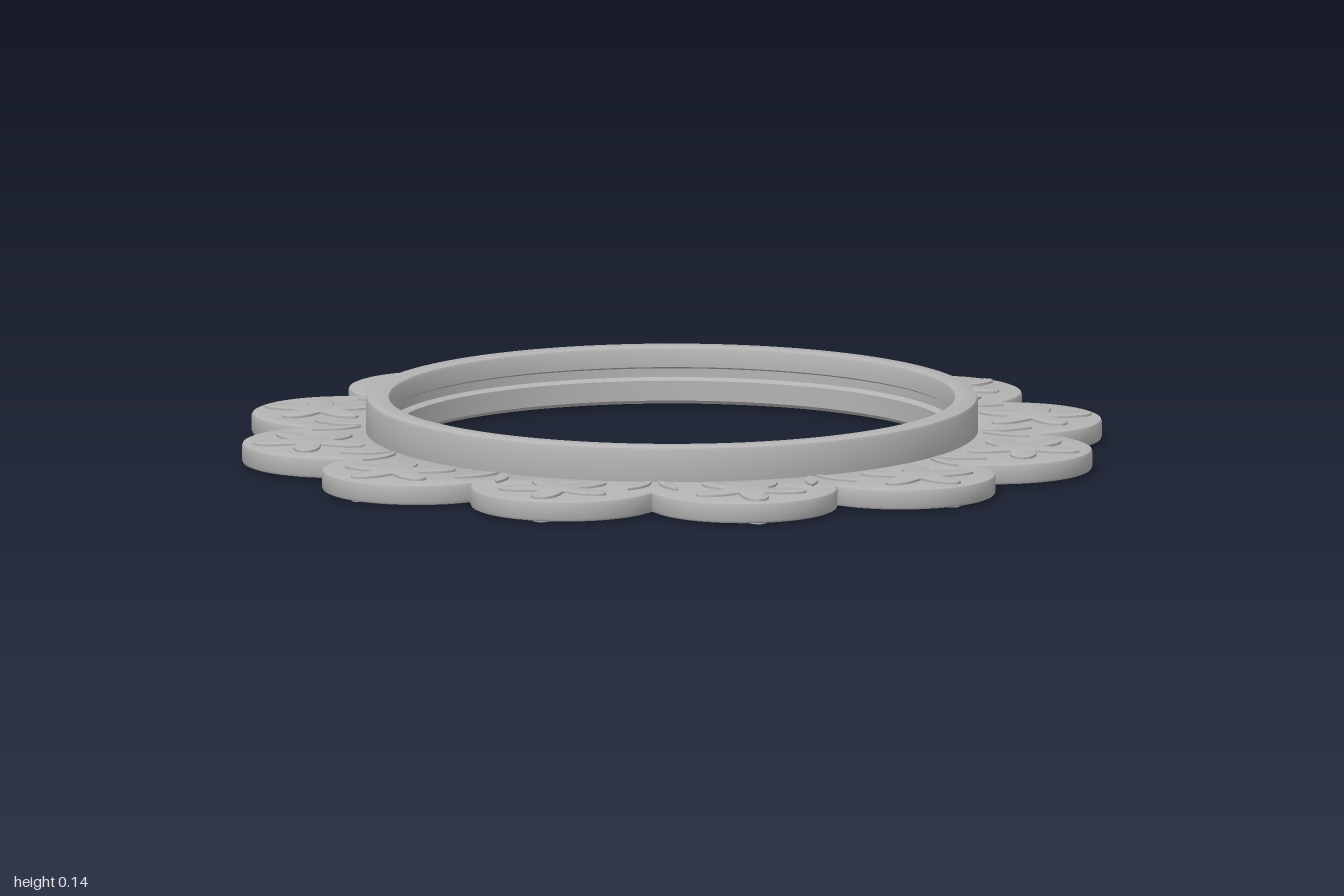
import * as THREE from 'three';
import { toCreasedNormals } from 'three/addons/utils/BufferGeometryUtils.js';

const LOBES = 12, STEP = Math.PI * 2 / LOBES;
const LOBE_CENTRE = 0.782, LOBE_RADIUS = 0.218;
const PLATE_BOTTOM = 0.006, PLATE_TOP = 0.054, RELIEF = 0.006;

// Extrude a shape drawn in plan so that it lies flat, standing on height y
function slab(shape, y, height, bevel, segments) {
  const geo = new THREE.ExtrudeGeometry(shape, {
    depth: height - 2 * bevel, curveSegments: segments,
    bevelEnabled: bevel > 0, bevelThickness: bevel, bevelSize: bevel,
    bevelOffset: -bevel, bevelSegments: 2,
  });
  geo.translate(0, 0, bevel).rotateX(-Math.PI / 2).translate(0, y, 0);
  return toCreasedNormals(geo, 0.6);
}

// Scalloped outline of twelve round lobes, with the centre and hanging hole cut out
function plateShape() {
  const shape = new THREE.Shape();
  const side = LOBE_CENTRE * Math.sin(STEP / 2);
  const valley = LOBE_CENTRE * Math.cos(STEP / 2) + Math.sqrt(LOBE_RADIUS ** 2 - side ** 2);
  const half = Math.atan2(valley * Math.sin(STEP / 2), valley * Math.cos(STEP / 2) - LOBE_CENTRE);
  for (let i = 0; i < LOBES; i++) {
    const a = i * STEP;
    shape.absarc(LOBE_CENTRE * Math.cos(a), LOBE_CENTRE * Math.sin(a), LOBE_RADIUS, a - half, a + half, false);
  }
  shape.holes.push(new THREE.Path().absarc(0, 0, 0.685, 0, Math.PI * 2, true));
  shape.holes.push(new THREE.Path().absarc(0, LOBE_CENTRE, 0.03, 0, Math.PI * 2, true));
  return shape;
}

// Five-petalled flower pointing outward along +x
function flowerShape() {
  const pts = [];
  for (let i = 0; i < 60; i++) {
    const a = i / 60 * Math.PI * 2;
    const r = 0.05 + 0.085 * Math.pow(0.5 + 0.5 * Math.cos(5 * a), 0.9);
    pts.push(new THREE.Vector2(r * Math.cos(a), r * Math.sin(a)));
  }
  return new THREE.Shape(pts);
}

// Slim pointed leaf along +x from the origin
function leafShape() {
  const s = new THREE.Shape();
  s.moveTo(0, 0);
  s.quadraticCurveTo(0.055, 0.034, 0.12, 0);
  s.quadraticCurveTo(0.055, -0.026, 0, 0);
  return s;
}

export function createModel() {
  const group = new THREE.Group();
  const grey = new THREE.MeshStandardMaterial({ color: 0xb3b3b3 });
  grey.name = 'grey';

  const add = (name, geo, parent = group) => {
    const mesh = new THREE.Mesh(geo, grey);
    mesh.name = name;
    parent.add(mesh);
    return mesh;
  };

  add('scallopedPlate', slab(plateShape(), PLATE_BOTTOM, PLATE_TOP - PLATE_BOTTOM, 0.008, 40));

  // Raised collar with rounded rims and a stepped inner wall
  const profile = [
    [0.69, 0.004], [0.70, 0.03], [0.70, 0.124], [0.697, 0.131], [0.69, 0.135],
    [0.656, 0.135], [0.648, 0.132], [0.645, 0.125], [0.645, 0.088],
    [0.652, 0.084], [0.652, 0.064], [0.636, 0.058],
    [0.636, 0.012], [0.643, 0.004], [0.69, 0.004],
  ].map(([r, y]) => new THREE.Vector2(r, y));
  add('collar', toCreasedNormals(new THREE.LatheGeometry(profile, 128), 0.6));

  // Low relief of flowers and leaves on both faces
  const flower = flowerShape(), leaf = leafShape();
  for (const [side, y] of [['top', PLATE_TOP - 0.002], ['bottom', 0]]) {
    const relief = new THREE.Group();
    relief.name = side + 'Relief';
    group.add(relief);
    const flowerGeo = slab(flower, y, RELIEF + 0.002, 0.002, 12);
    const leafGeo = slab(leaf, y, RELIEF + 0.002, 0.002, 8);
    for (let i = 0; i < LOBES; i++) {
      const a = i * STEP;
      // the lobe with the hanging hole stays plain
      if (i !== 3) {
        const m = add('flower', flowerGeo, relief);
        m.position.set(0.845 * Math.cos(a), 0, -0.845 * Math.sin(a));
        m.rotation.y = a;
      }
      // pair of leaves spreading from the collar towards each valley
      const v = a + STEP / 2;
      for (const s of [-1, 1]) {
        const m = add('leaf', leafGeo, relief);
        const b = v + s * 0.012;
        m.position.set(0.712 * Math.cos(b), 0, -0.712 * Math.sin(b));
        m.rotation.y = v + s * 0.42;
      }
    }
  }
  return group;
}
